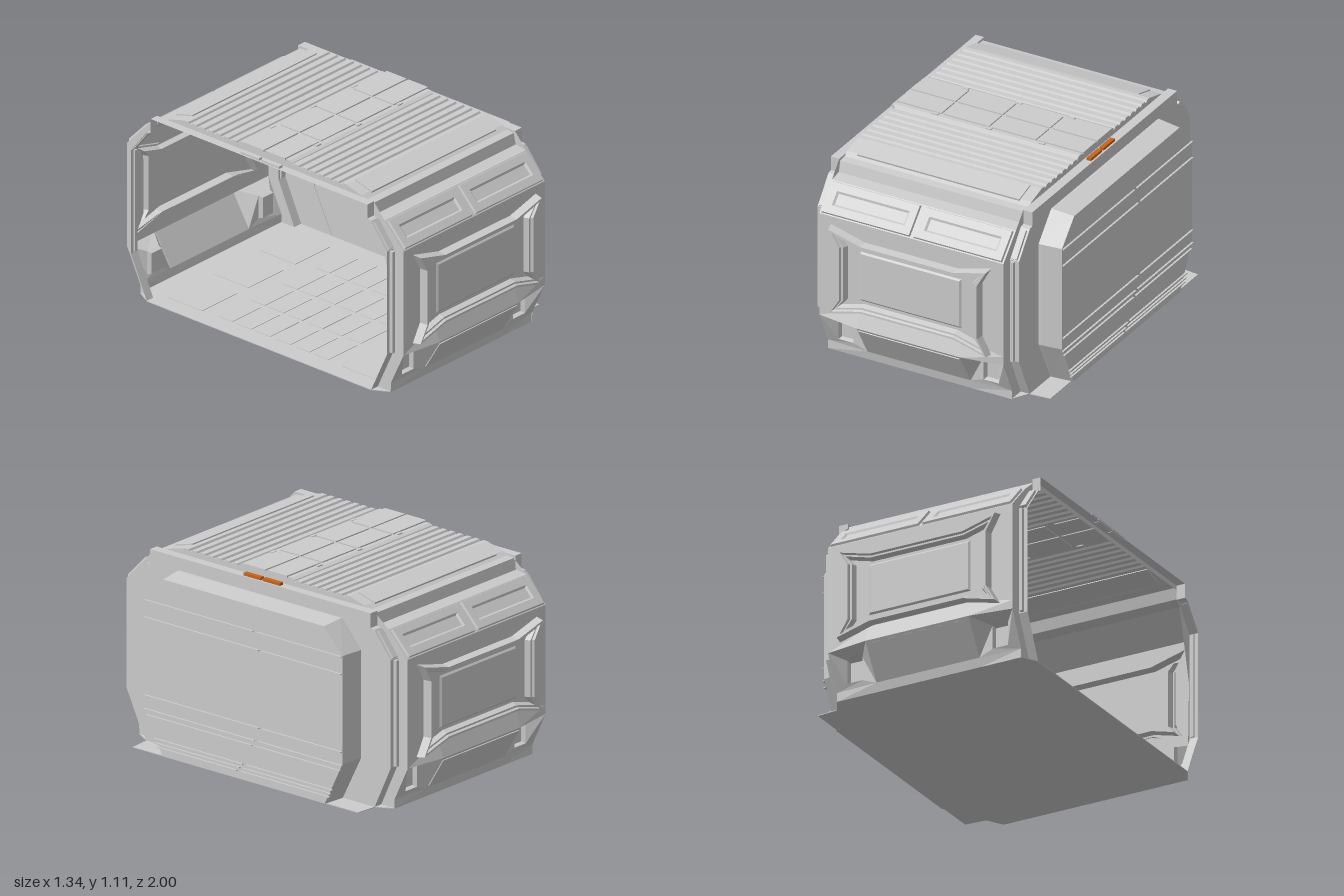
import * as THREE from 'three';

const grey = new THREE.MeshStandardMaterial({ color: 0xcccccc, flatShading: true, side: THREE.DoubleSide });
const orange = new THREE.MeshStandardMaterial({ color: 0xc8641e, flatShading: true });

// Skin a list of cross-sections (arrays of [x, y, z]); closed rings may be capped at the end.
function loft(name, rings, closed = false, cap = false) {
  const pos = [];
  for (let r = 0; r + 1 < rings.length; r++) {
    const a = rings[r], b = rings[r + 1], n = a.length;
    for (let i = 0; i < (closed ? n : n - 1); i++) {
      const j = (i + 1) % n;
      pos.push(...a[i], ...a[j], ...b[j], ...a[i], ...b[j], ...b[i]);
    }
  }
  if (cap) {
    const last = rings[rings.length - 1], n = last.length;
    const mid = [0, 1, 2].map(k => last.reduce((s, p) => s + p[k], 0) / n);
    last.forEach((p, i) => pos.push(...p, ...last[(i + 1) % n], ...mid));
  }
  const g = new THREE.BufferGeometry();
  g.setAttribute('position', new THREE.Float32BufferAttribute(pos, 3));
  g.computeVertexNormals();
  const m = new THREE.Mesh(g, grey);
  m.name = name;
  return m;
}

function box(name, size, at, mat = grey, rx = 0) {
  const m = new THREE.Mesh(new THREE.BoxGeometry(...size), mat);
  m.name = name;
  m.position.set(...at);
  m.rotation.x = rx;
  return m;
}

const atX = (profile, x) => profile.map(([z, y]) => [x, y, z]);
const rect = (x0, x1, y0, y1, z) => [[x0, y0, z], [x1, y0, z], [x1, y1, z], [x0, y1, z]];
const mirrored = half => [...half, ...half.slice().reverse().map(([z, y]) => [-z, y])];

// Half profiles as [z, y], from the floor up
const upper = [[0.95, 0.835], [0.82, 0.97], [0.75, 0.98], [0.735, 1.04], [0.69, 1.045], [0.66, 1.06]];
const mainEdge = [[0.86, 0], [0.86, 0.05], [0.95, 0.24], [0.95, 0.835], [0.82, 0.97], [0.745, 1.03]];
const rim = [[0.77, 0], [0.88, 0.24], [0.88, 0.83], [0.77, 0.97], [0.745, 0.975], [0.745, 1.055]];
const W = 0.545, R = 0.595;

// Frame outline with corners pulled outward, inset by d
function pincushion(d, z) {
  const quarter = [[0.42 - d * 1.1, 0], [0.42 - d * 1.1, 0.155], [0.475 - d * 1.6, 0.253 - d * 1.4],
    [0.275, 0.2 - d], [0, 0.2 - d]];
  const half = [...quarter, ...quarter.slice(0, 4).reverse().map(([x, y]) => [-x, y])];
  return [...half, ...half.slice(1, 8).reverse().map(([x, y]) => [x, -y])].map(([x, y]) => [x, y + 0.537, z]);
}

function endWall() {
  const g = new THREE.Group();
  // Flat wall with an opening for the framed window
  const shape = new THREE.Shape([[-W, 0.24], [W, 0.24], [W, 0.835], [-W, 0.835]].map(p => new THREE.Vector2(...p)));
  shape.holes.push(new THREE.Path(pincushion(0, 0).map(([x, y]) => new THREE.Vector2(x, y))));
  const wall = new THREE.Mesh(new THREE.ShapeGeometry(shape), grey);
  wall.name = 'wall';
  wall.position.z = 0.95;
  g.add(wall);
  g.add(loft('windowFrame', [pincushion(0, 0.95), pincushion(0.005, 0.998), pincushion(0.016, 0.998),
    pincushion(0.022, 0.985), pincushion(0.032, 0.985), pincushion(0.042, 0.955)], true, true));
  g.add(loft('windowPanel', [rect(-0.3, 0.3, 0.395, 0.68, 0.955), rect(-0.29, 0.29, 0.405, 0.67, 0.963)], true, true));
  g.add(loft('shoulder', [atX(upper, -W), atX(upper, W)]));

  // Bumper ledge, tapering into the wall at both ends
  const ledgeEnd = [[0.95, 0.24], [0.95, 0.29]], ledgeMid = [[0.985, 0.24], [0.95, 0.335]];
  g.add(loft('bumperLedge', [atX(ledgeEnd, -W), atX(ledgeMid, -0.305), atX(ledgeMid, 0.305), atX(ledgeEnd, W)]));
  const front = [[0.87, 0.05], [0.985, 0.24]];
  g.add(loft('bumper', [atX(front, -0.305), atX(front, 0.305)]));
  g.add(box('bumperPlate', [0.6, 0.19, 0.008], [0, 0.145, 0.929], grey, Math.atan2(0.115, 0.19)));
  const sill = [[0.86, 0], [0.87, 0.05]], sillEnd = [[0.86, 0], [0.86, 0.05]];
  g.add(loft('sill', [atX(sillEnd, -W), atX(sill, -0.305), atX(sill, 0.305), atX(sillEnd, W)]));

  for (const s of [-1, 1]) {
    // Funnel-shaped lamp recess
    const mouth = [[s * W, 0.05, 0.86], [s * 0.305, 0.05, 0.87], [s * 0.305, 0.24, 0.985], [s * W, 0.24, 0.95]];
    g.add(loft('lampRecess', [mouth, rect(s * 0.475, s * 0.385, 0.08, 0.21, 0.875),
      rect(s * 0.468, s * 0.392, 0.087, 0.203, 0.85)], true, true));
    // Framed panel on the sloping shoulder
    const panel = new THREE.Group();
    panel.name = 'shoulderPanel';
    panel.position.set(s * 0.273, 0.9025, 0.885);
    panel.rotation.x = -Math.atan2(0.13, 0.135);
    panel.add(loft('panelFrame', [rect(-0.262, 0.262, -0.087, 0.087, 0), rect(-0.258, 0.258, -0.083, 0.083, 0.012),
      rect(-0.215, 0.215, -0.04, 0.04, 0.012), rect(-0.205, 0.205, -0.03, 0.03, 0.003)], true, true));
    g.add(panel);
    g.add(box('rimBlock', [0.035, 0.16, 0.02], [s * 0.57, 0.9, 0.832], grey, -0.67));
    // Narrow upright trim beside the wall
    g.add(box('cornerTrim', [0.018, 0.58, 0.03], [s * 0.565, 0.535, 0.885]));
  }
  return g;
}

function roof() {
  const g = new THREE.Group();
  g.name = 'roof';
  // Ribbed profile running across the roof
  const half = [[0.69, 1.045], [0.66, 1.062], [0.555, 1.09]];
  for (let z = 0.53; z > 0.2; z -= 0.055) {
    half.push([z, 1.09], [z - 0.006, 1.08], [z - 0.02, 1.08], [z - 0.026, 1.09]);
  }
  half.push([0.185, 1.09], [0.165, 1.098]);
  const profile = mirrored(half), base = profile.map(([z]) => [z, 1.04]);
  g.add(loft('ribbedRoof', [atX(base, -W), atX(profile, -W), atX(profile, W), atX(base, W)]));
  for (const s of [-1, 1]) {
    g.add(box('roofEndPanel', [0.96, 0.012, 0.12], [0, 1.075, s * 0.615], grey, s * 0.26));
    for (let i = 0; i < 4; i++) {
      g.add(box('roofTile', [0.265, 0.012, 0.135], [(i - 1.5) * 0.28, 1.099, s * 0.073]));
    }
    for (const x of [-0.315, 0, 0.315]) g.add(box('roofClip', [0.035, 0.014, 0.018], [x, 1.097, s * 0.155]));
    g.add(box('markerLamp', [0.026, 0.016, 0.115], [0.575, 1.062, s * 0.065], orange));
    g.add(box('markerBlock', [0.026, 0.016, 0.125], [-0.575, 1.06, s * 0.07]));
  }
  return g;
}

function sidePanel() {
  const g = new THREE.Group();
  g.name = 'sidePanel';
  const plate = mirrored(rim);
  g.add(loft('sidePlate', [atX(plate, R), atX(plate, R + 0.003)], true, true));
  const octagon = d => mirrored([[0.555 - d * 0.6, d * 0.5], [0.68 - d, 0.25], [0.68 - d, 0.84], [0.55 - d * 0.6, 0.985 - d]]);
  g.add(loft('raisedPanel', [atX(octagon(0), R), atX(octagon(0), 0.61), atX(octagon(0.012), 0.73)], true, true));
  // Thin horizontal fins, each broken by a narrow gap: [height, gap position]
  for (const [y, gap] of [[0.835, -0.08], [0.74, -0.12], [0.315, -0.12], [0.24, -0.09], [0.21, -0.07],
    [0.093, -0.01], [0.07, 0.01], [0.05, 0.03]]) {
    const end = y < 0.25 ? 0.56 + y * 0.45 : 0.665;
    for (const [a, b] of [[-end, gap - 0.012], [gap + 0.012, end]]) {
      g.add(box('fin', [0.012, 0.006, b - a], [0.735, y, (a + b) / 2]));
    }
  }
  return g;
}

function floor() {
  const g = new THREE.Group();
  g.name = 'floor';
  const outline = [[-R, 0.77], [-W, 0.86], [W, 0.86], [R, 0.77], [0.715, 0.76], [0.715, -0.76],
    [R, -0.77], [W, -0.86], [-W, -0.86], [-R, -0.77]];
  const ring = y => outline.map(([x, z]) => [x, y, z]);
  g.add(loft('floorPlate', [ring(0.003), ring(0)], true, true));
  g.add(loft('floorTop', [ring(0.003), ring(0.004)], true, true));
  // Low floor tiles: large along both ends, small in the middle
  for (const s of [-1, 1]) {
    for (let i = 0; i < 3; i++) g.add(box('floorTile', [0.27, 0.004, 0.24], [(i - 1) * 0.36, 0.005, s * 0.6]));
    for (let i = 0; i < 4; i++) {
      for (let k = 0; k < 3; k++) {
        g.add(box('smallFloorTile', [0.22, 0.004, 0.1], [(i - 1.5) * 0.25, 0.005, s * (0.07 + k * 0.13)]));
      }
    }
  }
  return g;
}

export function createModel() {
  const model = new THREE.Group();
  model.name = 'roomModule';
  const body = new THREE.Group();
  body.name = 'body';
  body.position.x = -0.075;
  model.add(body);

  const front = endWall(), back = endWall();
  front.name = 'frontWall';
  back.name = 'backWall';
  back.rotation.y = Math.PI;
  body.add(front, back, roof(), sidePanel(), floor());

  // Recessed rims at both ends, joined to the walls by a step
  const fullRim = mirrored(rim), fullEdge = mirrored(mainEdge);
  for (const s of [-1, 1]) {
    body.add(loft(s < 0 ? 'rightRim' : 'leftRim', [atX(fullEdge, s * W), atX(fullRim, s * W), atX(fullRim, s * R)]));
  }
  return model;
}
